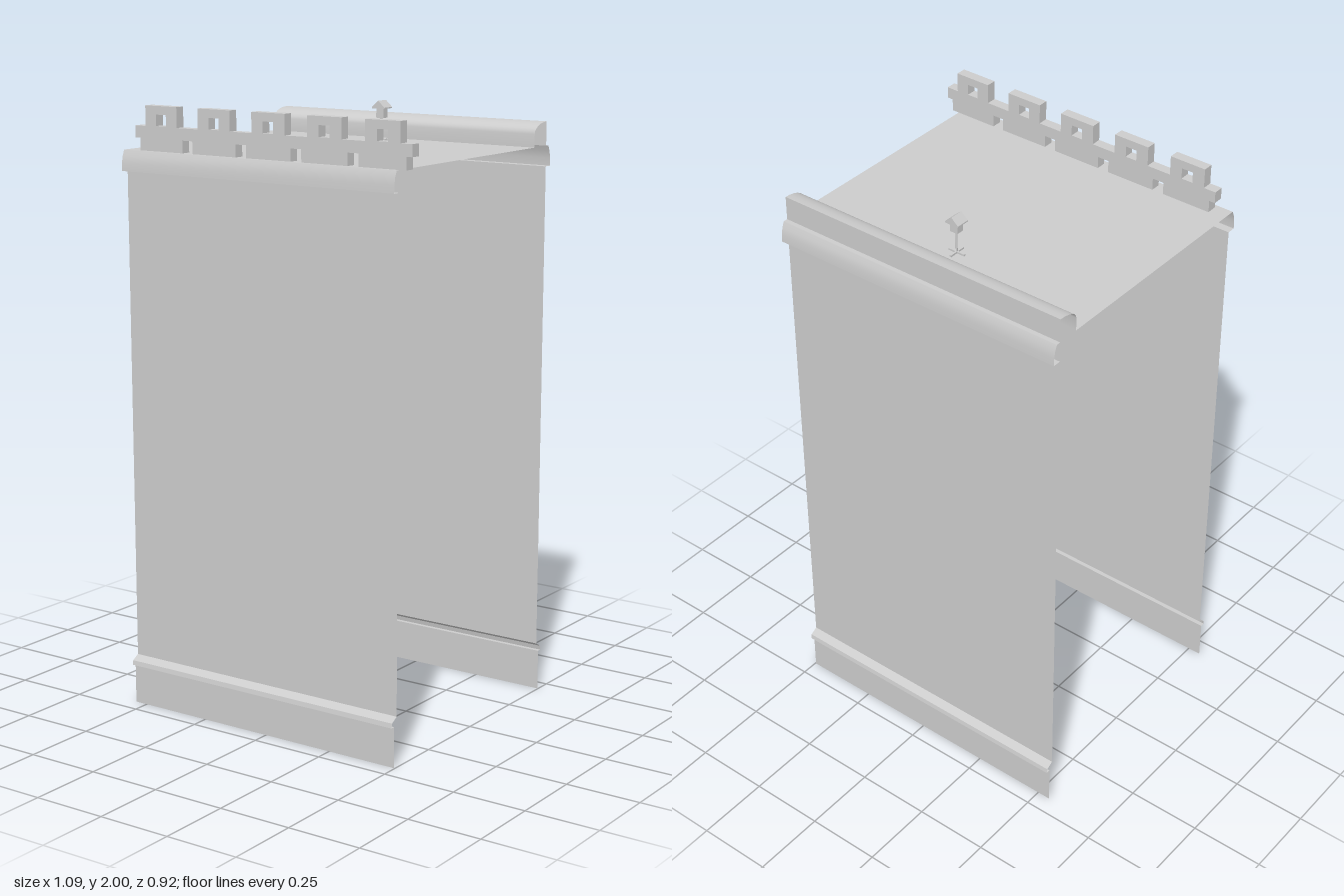
import * as THREE from 'three';
import { toCreasedNormals } from 'three/addons/utils/BufferGeometryUtils.js';

const X0 = -0.545, X1 = 0.497, DECK = 1.857;

export function createModel() {
  const model = new THREE.Group();
  const solid = new THREE.MeshStandardMaterial({ color: 0xcccccc });
  const sheet = new THREE.MeshStandardMaterial({ color: 0xcccccc, side: THREE.DoubleSide });

  function add(parent, name, geometry, x = 0, y = 0, z = 0, material = solid) {
    const mesh = new THREE.Mesh(geometry, material);
    mesh.name = name;
    mesh.position.set(x, y, z);
    parent.add(mesh);
    return mesh;
  }

  // Thin sheet: a [z, y] profile swept along x
  function sweep(profile) {
    const pos = [];
    for (let i = 0; i < profile.length - 1; i++) {
      const [za, ya] = profile[i], [zb, yb] = profile[i + 1];
      pos.push(X0, ya, za, X1, ya, za, X1, yb, zb);
      pos.push(X0, ya, za, X1, yb, zb, X0, yb, zb);
    }
    const g = new THREE.BufferGeometry();
    g.setAttribute('position', new THREE.Float32BufferAttribute(pos, 3));
    return toCreasedNormals(g, 0.5);
  }

  // Wall with recessed skirt, overhanging moulding and rounded cornice
  const wall = [
    [0.443, 0], [0.443, 0.135], [0.458, 0.135], [0.455, 0.15], [0.43, 0.165],
    [0.43, 1.79], [0.458, 1.79], [0.457, 1.815], [0.453, 1.838], [0.445, DECK],
  ];
  add(model, 'frontWall', sweep(wall), 0, 0, 0, sheet);
  add(model, 'backWall', sweep(wall.map(([z, y]) => [-z, y]).reverse()), 0, 0, 0, sheet);
  add(model, 'deck', sweep([[0.445, DECK], [-0.355, DECK]]), 0, 0, 0, sheet);

  // Hollow rear rail, rounded on its inner side
  const rail = [[-0.355, DECK]];
  for (let i = 0; i <= 6; i++) {
    const a = (i / 6) * Math.PI / 2;
    rail.push([-0.43 + 0.075 * Math.cos(a), 1.9 + 0.036 * Math.sin(a)]);
  }
  rail.push([-0.43, DECK], [-0.445, DECK]);
  add(model, 'rearRail', sweep(rail), 0, 0, 0, sheet);

  // Battlement: five blocks with a windowed merlon and cut lower corners
  const outline = [
    [-0.085, 0], [0.085, 0], [0.085, 0.04], [0.105, 0.04], [0.105, 0.078], [0.063, 0.078],
    [0.063, 0.143], [-0.063, 0.143], [-0.063, 0.078], [-0.105, 0.078], [-0.105, 0.04], [-0.085, 0.04],
  ].map(([x, y]) => new THREE.Vector2(x, y));
  const block = new THREE.Shape(outline);
  const w = [[-0.02, 0.08], [-0.02, 0.116], [0.02, 0.116], [0.02, 0.08]];
  block.holes.push(new THREE.Path(w.map(([x, y]) => new THREE.Vector2(x, y))));
  const blockGeo = new THREE.ExtrudeGeometry(block, { depth: 0.034, bevelEnabled: false });
  const battlement = new THREE.Group();
  battlement.name = 'battlement';
  for (let i = 0; i < 5; i++) add(battlement, 'merlon' + (i + 1), blockGeo, -0.403 + 0.21 * i, DECK, 0.397);
  model.add(battlement);

  // Small house on a post with crossed feet
  const house = new THREE.Group();
  house.name = 'postHouse';
  house.position.set(-0.026, DECK, -0.254);
  add(house, 'footAcross', new THREE.BoxGeometry(0.06, 0.006, 0.006), 0, 0.003, 0);
  add(house, 'footAlong', new THREE.BoxGeometry(0.006, 0.006, 0.06), 0, 0.003, 0);
  add(house, 'post', new THREE.CylinderGeometry(0.003, 0.003, 0.08, 8), 0, 0.04, 0);
  add(house, 'houseBox', new THREE.BoxGeometry(0.028, 0.036, 0.026), 0, 0.095, 0);
  add(house, 'perch', new THREE.BoxGeometry(0.004, 0.004, 0.02), 0, 0.074, 0.008);
  const gable = new THREE.Shape();
  gable.moveTo(-0.025, 0.108).lineTo(0.025, 0.108).lineTo(0.025, 0.112).lineTo(0, 0.134).lineTo(-0.025, 0.112);
  add(house, 'houseRoof', new THREE.ExtrudeGeometry(gable, { depth: 0.046, bevelEnabled: false }), 0, 0, -0.023);
  model.add(house);

  return model;
}
